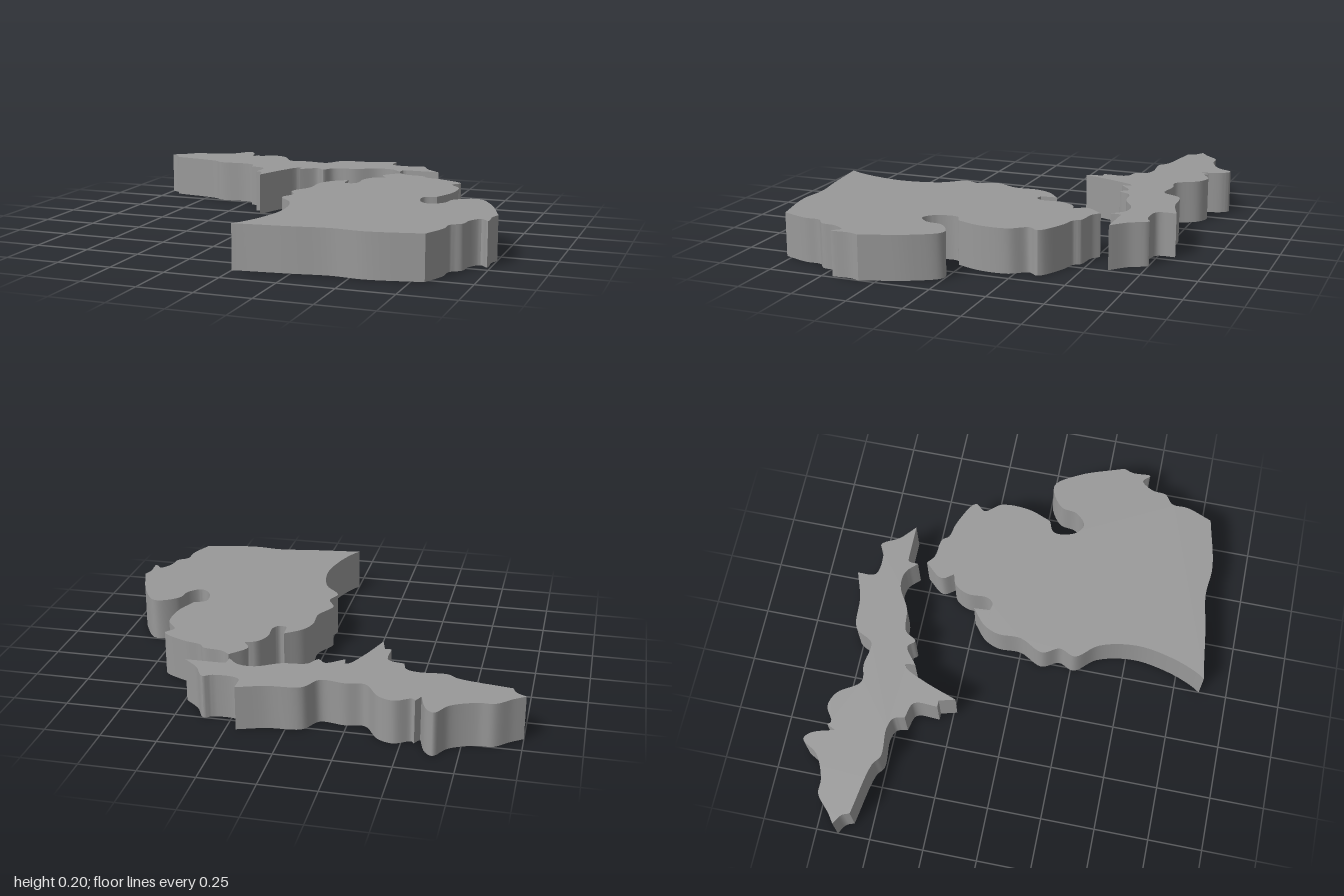
import * as THREE from 'three';
import { toCreasedNormals } from 'three/addons/utils/BufferGeometryUtils.js';

const HEIGHT = 0.2;

// Coast runs of [x, z] points. Each run is a smooth curve that starts where
// the previous one ended, so runs meet in sharp corners.
const NORTH_COAST = [
  [[-.95, -.685], [-.88, -.745], [-.81, -.75], [-.7, -.8], [-.645, -.875], [-.61, -.85], [-.575, -.745]],
  [[-.555, -.785]],
  [[-.54, -.77], [-.47, -.805], [-.4, -.78], [-.325, -.68], [-.24, -.69], [-.13, -.68], [-.07, -.765], [.08, -.785], [.205, -.825]],
  [[.215, -.74], [.33, -.73], [.37, -.75], [.42, -.67], [.49, -.605]],
  [[.345, -.605]],
  [[.31, -.6], [.305, -.555]],
  [[.25, -.605], [.175, -.61], [.07, -.555], [-.04, -.535], [-.08, -.48], [-.115, -.51], [-.195, -.455]],
  [[-.2, -.5]],
  [[-.22, -.49], [-.265, -.4], [-.325, -.235]],
  [[-.345, -.31]],
  [[-.375, -.31]],
  [[-.38, -.42], [-.455, -.445]],
  [[-.47, -.495], [-.52, -.515], [-.655, -.51], [-.7, -.54], [-.94, -.585]],
  [[-.955, -.62], [-1, -.65]],
];

const SOUTH_COAST = [
  [[.36, -.485], [.45, -.47], [.475, -.44], [.55, -.42], [.67, -.35], [.64, -.3], [.69, -.225], [.69, -.09], [.65, .02]],
  [[.595, .05], [.61, .15], [.66, .185], [.715, .14], [.735, .06], [.84, .005], [.92, .11], [1, .325]],
  [[.985, .37], [.985, .455], [.95, .425], [.91, .48], [.9, .545], [.855, .585], [.85, .66], [.805, .78]],
  [[.565, .825], [.415, .815], [.245, .84], [.03, .865], [0, .87]],
  [[.025, .83], [.07, .715], [.1, .54], [.065, .365], [-.01, .265], [.015, .19], [-.02, .11], [.03, 0], [.03, -.11], [.06, -.18], [.135, -.245]],
  [[.14, -.17]],
  [[.175, -.165], [.2, -.195], [.2, -.29], [.235, -.355], [.285, -.375]],
  [[.255, -.43], [.32, -.515]],
];

// Joins the runs into one closed outline; shape y is -z so it lies flat after rotation.
function coastShape(runs) {
  const outline = runs.flatMap((run, i) => {
    const start = runs.at(i - 1).at(-1);
    const points = [start, ...run].map(([x, z]) => new THREE.Vector3(x, -z, 0));
    const curve = new THREE.CatmullRomCurve3(points, false, 'centripetal');
    return curve.getPoints(run.length > 1 ? run.length * 6 : 1).slice(1);
  });
  return new THREE.Shape(outline.map((p) => new THREE.Vector2(p.x, p.y)));
}

function landSlab(name, runs, material) {
  const geometry = new THREE.ExtrudeGeometry(coastShape(runs), { depth: HEIGHT, bevelEnabled: false });
  geometry.rotateX(-Math.PI / 2);
  const mesh = new THREE.Mesh(toCreasedNormals(geometry, 0.6), material);
  mesh.name = name;
  return mesh;
}

export function createModel() {
  const group = new THREE.Group();
  group.name = 'peninsulaMap';
  const material = new THREE.MeshStandardMaterial({ color: 0x999999 });
  group.add(landSlab('upperPeninsula', NORTH_COAST, material));
  group.add(landSlab('lowerPeninsula', SOUTH_COAST, material));
  return group;
}
